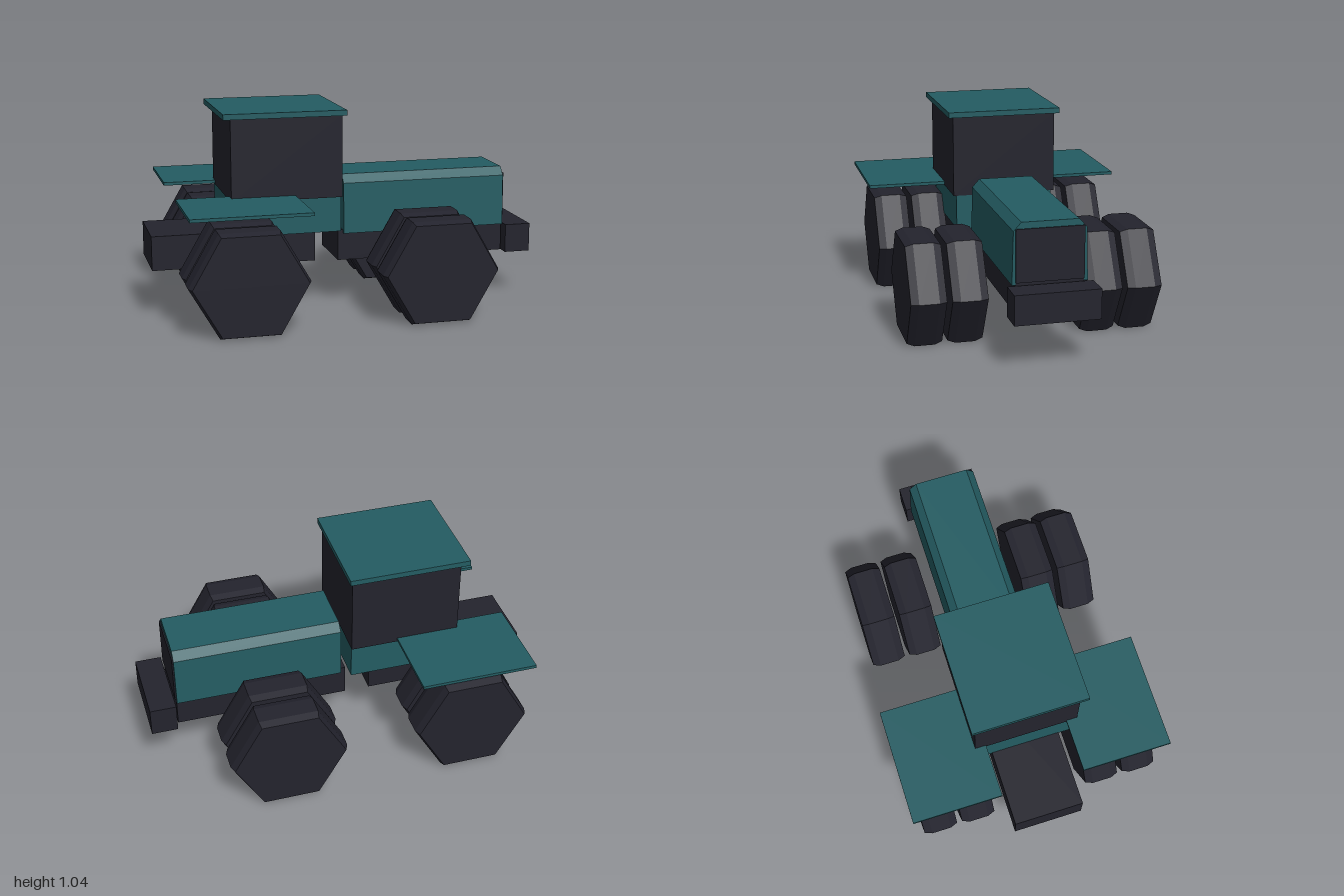
import * as THREE from 'three';

export function createModel() {
  const model = new THREE.Group();
  model.name = 'tractor';

  const paint = new THREE.MeshStandardMaterial({ color: 0x245c62, flatShading: true });
  paint.name = 'teal paint';
  const dark = new THREE.MeshStandardMaterial({ color: 0x23232d, flatShading: true });
  dark.name = 'dark rubber and glass';

  function add(name, geometry, material) {
    const mesh = new THREE.Mesh(geometry, material);
    mesh.name = name;
    model.add(mesh);
    return mesh;
  }

  // Box given by its limits on each axis
  function box(name, material, [x0, x1], [y0, y1], [z0, z1]) {
    const mesh = add(name, new THREE.BoxGeometry(x1 - x0, y1 - y0, z1 - z0), material);
    mesh.position.set((x0 + x1) / 2, (y0 + y1) / 2, (z0 + z1) / 2);
  }

  // Chassis and nose weight
  box('rearChassis', dark, [-1, -0.165], [0.25, 0.425], [-0.18, 0.18]);
  box('frontChassis', dark, [-0.04, 0.855], [0.24, 0.4], [-0.167, 0.167]);
  box('noseWeight', dark, [0.865, 1], [0.235, 0.383], [-0.21, 0.21]);

  // Cab: painted base, dark glass, roof slab
  box('cabBase', paint, [-0.608, -0.045], [0.415, 0.595], [-0.255, 0.255]);
  box('cabGlass', dark, [-0.61, -0.043], [0.595, 1.012], [-0.27, 0.27]);
  box('cabRoof', paint, [-0.65, -0.025], [1.012, 1.04], [-0.295, 0.295]);

  // Hood with chamfered top edges, extruded along the length
  const section = new THREE.Shape([
    [-0.185, 0.383], [0.185, 0.383], [0.178, 0.645],
    [0.14, 0.687], [-0.14, 0.687], [-0.178, 0.645],
  ].map(([z, y]) => new THREE.Vector2(z, y)));
  const hood = new THREE.ExtrudeGeometry(section, { depth: 0.867, bevelEnabled: false });
  hood.rotateY(Math.PI / 2);
  add('hood', hood, paint).position.x = -0.012;
  box('grille', dark, [0.852, 0.862], [0.395, 0.655], [-0.167, 0.167]);

  // Flat rear fenders
  for (const side of [-1, 1]) {
    const z = side > 0 ? [0.213, 0.675] : [-0.675, -0.213];
    box(side > 0 ? 'leftFender' : 'rightFender', paint, [-0.88, -0.285], [0.6, 0.616], z);
  }

  // Six-sided dual wheels with bevelled shoulders
  const profile = [
    [0, -0.088], [0.285, -0.088], [0.3, -0.05], [0.3, 0.05], [0.285, 0.088], [0, 0.088],
  ].map(([r, y]) => new THREE.Vector2(r, y));
  const wheel = new THREE.LatheGeometry(profile, 6, Math.PI / 2);
  wheel.rotateX(Math.PI / 2);
  for (const [axle, x] of [['front', 0.378], ['rear', -0.582]]) {
    for (const side of [-1, 1]) {
      for (const [place, z] of [['Inner', 0.338], ['Outer', 0.541]]) {
        const name = axle + place + (side > 0 ? 'LeftWheel' : 'RightWheel');
        add(name, wheel, dark).position.set(x, 0.26, side * z);
      }
    }
  }

  return model;
}
